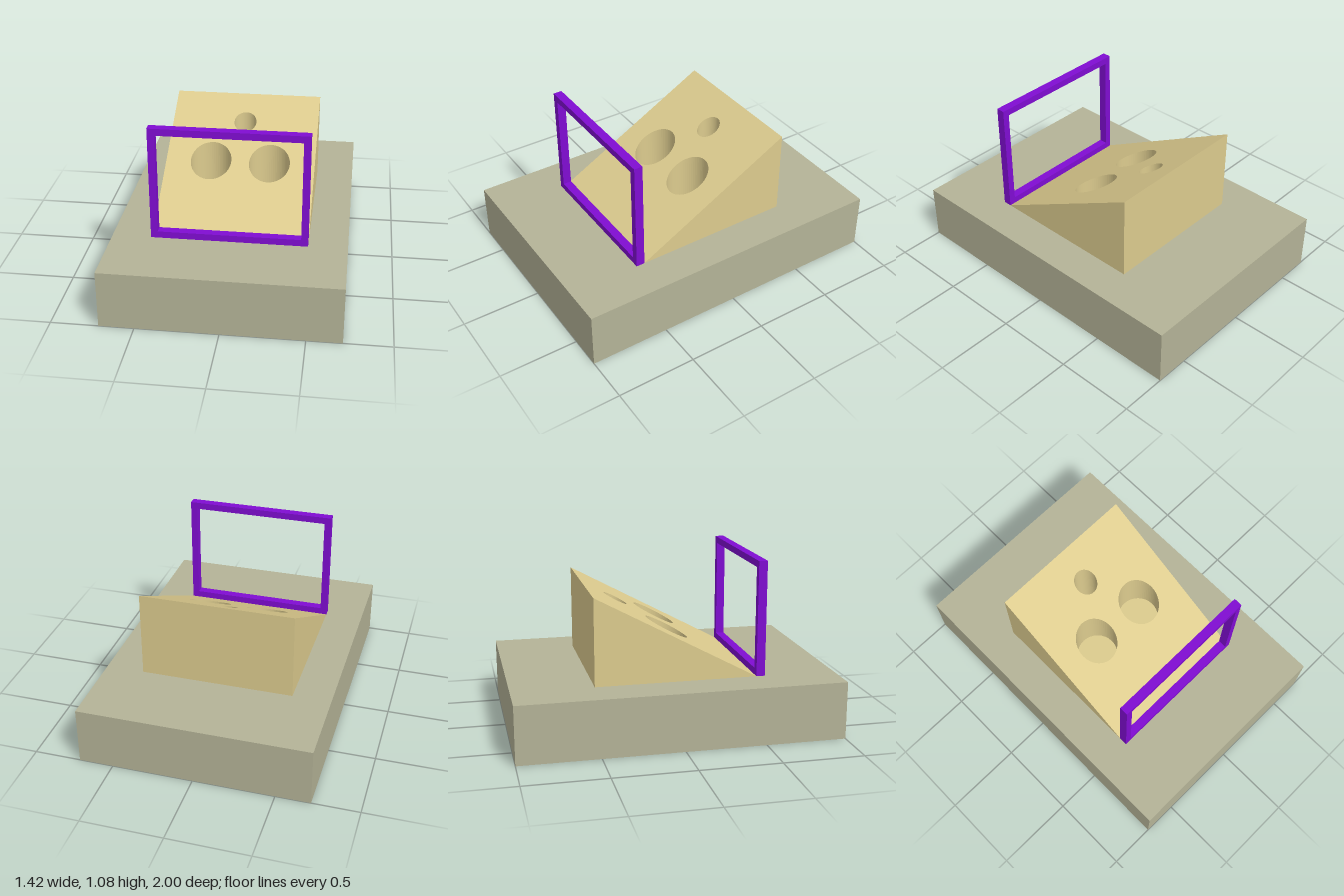
import * as THREE from 'three';

const BASE_TOP = 0.36, PEAK = 0.9, HALF_W = 0.475, HALF_D = 0.5;

function makeMesh(name, geometry, color) {
  const mesh = new THREE.Mesh(geometry, new THREE.MeshStandardMaterial({ color, flatShading: true }));
  mesh.name = name;
  return mesh;
}

function rectangle(target, x0, y0, x1, y1) {
  target.moveTo(x0, y0).lineTo(x1, y0).lineTo(x1, y1).lineTo(x0, y1).closePath();
  return target;
}

export function createModel() {
  const group = new THREE.Group();
  const tan = 0xdccb8e;

  // Flat slab
  const base = makeMesh('base', new THREE.BoxGeometry(1.424, BASE_TOP, 2), 0xb4b397);
  base.position.y = BASE_TOP / 2;
  group.add(base);

  // Sloped board: plan outline with round holes, top vertices lifted onto the slope
  const holes = [
    { x: -0.187, z: 0, r: 0.13 },
    { x: 0.187, z: 0, r: 0.13 },
    { x: 0, z: -0.287, r: 0.072 },
  ];
  const plan = rectangle(new THREE.Shape(), -HALF_W, -HALF_D, HALF_W, HALF_D);
  for (const { x, z, r } of holes) {
    plan.holes.push(new THREE.Path().absarc(x, -z, r, 0, Math.PI * 2, true));
  }
  const wedge = new THREE.ExtrudeGeometry(plan, { depth: 1, bevelEnabled: false, curveSegments: 32 });
  wedge.rotateX(-Math.PI / 2);
  const pos = wedge.attributes.position;
  for (let i = 0; i < pos.count; i++) {
    const rise = (PEAK - BASE_TOP) * (HALF_D - pos.getZ(i)) / (2 * HALF_D);
    pos.setY(i, BASE_TOP + (pos.getY(i) > 0.5 ? rise : 0));
  }
  wedge.computeVertexNormals();
  group.add(makeMesh('slopedBoard', wedge, tan));

  // Floors of the holes
  for (const { x, z, r } of holes) {
    const floor = makeMesh('holeFloor', new THREE.CircleGeometry(r, 32).rotateX(-Math.PI / 2), tan);
    floor.position.set(x, BASE_TOP + 0.01, z);
    group.add(floor);
  }

  // Upright frame in front of the slope
  const outline = rectangle(new THREE.Shape(), -HALF_W, BASE_TOP, HALF_W, 1.075);
  outline.holes.push(rectangle(new THREE.Path(), -0.433, 0.402, 0.433, 1.032));
  const frame = makeMesh('frame', new THREE.ExtrudeGeometry(outline, { depth: 0.054, bevelEnabled: false }), 0x800dd2);
  frame.position.z = HALF_D;
  group.add(frame);

  return group;
}
